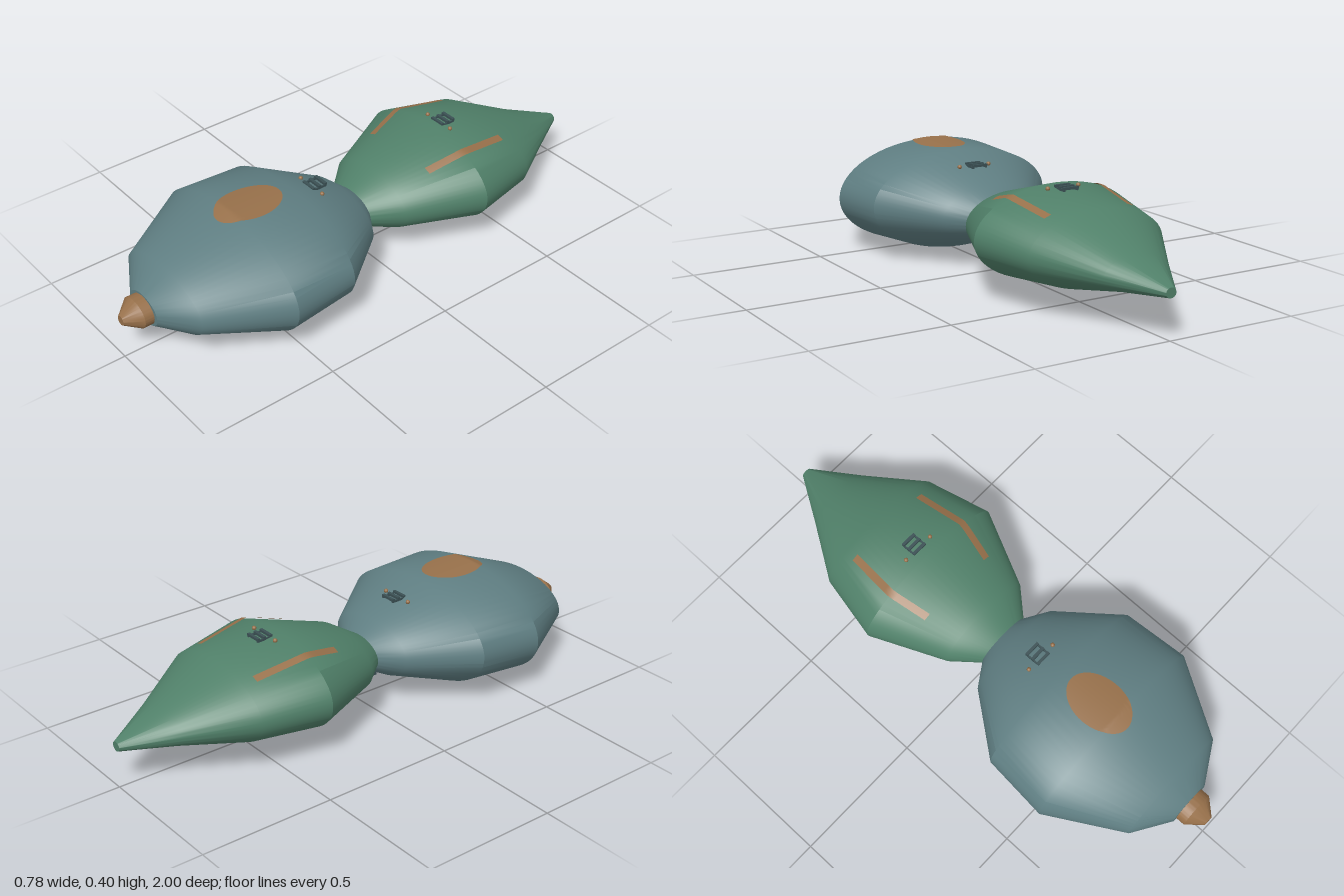
import * as THREE from 'three';
import { toCreasedNormals } from 'three/addons/utils/BufferGeometryUtils.js';

// Hull sections from back to front: [z, half width, bottom y, top y]
const FRONT = [
  [0.02, 0.11, 0.12, 0.25], [0.08, 0.2, 0.092, 0.298], [0.3, 0.37, 0.022, 0.395],
  [0.55, 0.39, 0.001, 0.402], [0.825, 0.228, 0.08, 0.298], [0.91, 0.085, 0.11, 0.222],
];
const REAR = [
  [-1, 0.02, 0.14, 0.175], [-0.82, 0.13, 0.118, 0.24], [-0.6, 0.27, 0.076, 0.345],
  [-0.35, 0.325, 0.052, 0.388], [-0.075, 0.197, 0.09, 0.31], [0.022, 0.11, 0.118, 0.25],
];
const NOSE = [
  [0.89, 0.068, 0.112, 0.216], [0.945, 0.068, 0.111, 0.216], [1, 0.018, 0.14, 0.175],
];

// Loft of elliptical rings, capped at both ends
function loft(sections, sides = 64) {
  const pos = [], idx = [];
  for (const [z, rx, y0, y1] of sections) {
    for (let i = 0; i < sides; i++) {
      const a = (i / sides) * Math.PI * 2;
      pos.push(rx * Math.cos(a), (y0 + y1) / 2 + ((y1 - y0) / 2) * Math.sin(a), z);
    }
  }
  for (let s = 0; s < sections.length - 1; s++) {
    for (let i = 0; i < sides; i++) {
      const j = (i + 1) % sides, a = s * sides + i, b = s * sides + j;
      idx.push(a, b, b + sides, a, b + sides, a + sides);
    }
  }
  const last = (sections.length - 1) * sides;
  for (let i = 1; i < sides - 1; i++) {
    idx.push(0, i + 1, i, last, last + i, last + i + 1);
  }
  const g = new THREE.BufferGeometry();
  g.setAttribute('position', new THREE.Float32BufferAttribute(pos, 3));
  g.setIndex(idx);
  return toCreasedNormals(g, 0.55);
}

// Height of the upper hull surface at (x, z)
function topY(sections, x, z) {
  let k = 0;
  while (k < sections.length - 2 && z > sections[k + 1][0]) k++;
  const a = sections[k], b = sections[k + 1], t = (z - a[0]) / (b[0] - a[0]);
  const [, rx, y0, y1] = a.map((v, i) => v + (b[i] - v) * t);
  return (y0 + y1) / 2 + ((y1 - y0) / 2) * Math.sqrt(Math.max(0, 1 - (x / rx) ** 2));
}

// Lay a flat XY shape geometry (y becomes -z) onto a hull
function drape(geometry, sections, lift) {
  const p = geometry.attributes.position;
  for (let i = 0; i < p.count; i++) {
    const x = p.getX(i), z = -p.getY(i);
    p.setXYZ(i, x, topY(sections, x, z) + lift + p.getZ(i), z);
  }
  geometry.computeVertexNormals();
  return geometry;
}

export function createModel() {
  const model = new THREE.Group();
  const material = (name, color, side = THREE.FrontSide) =>
    Object.assign(new THREE.MeshStandardMaterial({ color, side }), { name });
  const slate = material('slate blue', 0x5f7e82);
  const green = material('sea green', 0x508069);
  const copper = material('copper', 0x97704a, THREE.DoubleSide);
  const dark = material('dark slate', 0x3b5054);

  const add = (name, geometry, mat, parent = model) => {
    const mesh = new THREE.Mesh(geometry, mat);
    mesh.name = name;
    parent.add(mesh);
    return mesh;
  };

  add('frontHull', loft(FRONT), slate);
  add('rearHull', loft(REAR), green);
  add('noseCap', loft(NOSE), copper);

  // Oval hatch that follows the front hull
  const hatch = new THREE.RingGeometry(0.0001, 1, 48, 16);
  hatch.scale(0.09, 0.13, 1).translate(0, -0.47, 0);
  add('hatch', drape(hatch, FRONT, 0.004), copper);

  // Bent strips along both shoulders of the rear hull
  for (const s of [-1, 1]) {
    const strip = new THREE.PlaneGeometry(0.027, 0.35, 2, 14);
    strip.translate(0, 0.38, 0);
    const p = strip.attributes.position;
    for (let i = 0; i < p.count; i++) {
      const z = -p.getY(i);
      const mid = z < -0.35 ? 0.187 - (-0.35 - z) * 0.1 : 0.187 - (z + 0.35) * 0.22;
      p.setX(i, p.getX(i) + s * mid);
    }
    add(s > 0 ? 'leftStrip' : 'rightStrip', drape(strip, REAR, 0.005), copper);
  }

  // Deck fittings: a small slatted frame with a stud on each side
  const fitting = (name, sections, z, y, studZ) => {
    const group = new THREE.Group();
    group.name = name;
    model.add(group);
    for (const dz of [-0.026, 0, 0.026]) {
      add('slat', new THREE.BoxGeometry(0.06, 0.009, 0.011), dark, group).position.set(0, y, z + dz);
    }
    for (const s of [-1, 1]) {
      add('rail', new THREE.BoxGeometry(0.006, 0.008, 0.06), dark, group).position.set(s * 0.027, y - 0.006, z);
      add('stud', new THREE.SphereGeometry(0.008, 12, 8), copper, group)
        .position.set(s * 0.062, topY(sections, 0.062, studZ) + 0.004, studZ);
    }
  };
  fitting('frontFitting', FRONT, 0.185, 0.358, 0.2);
  fitting('rearFitting', REAR, -0.415, 0.385, -0.395);

  // Hinge plate under the waist
  add('hingePlate', new THREE.BoxGeometry(0.12, 0.012, 0.07), dark).position.set(0, 0.106, 0.02);

  return model;
}
